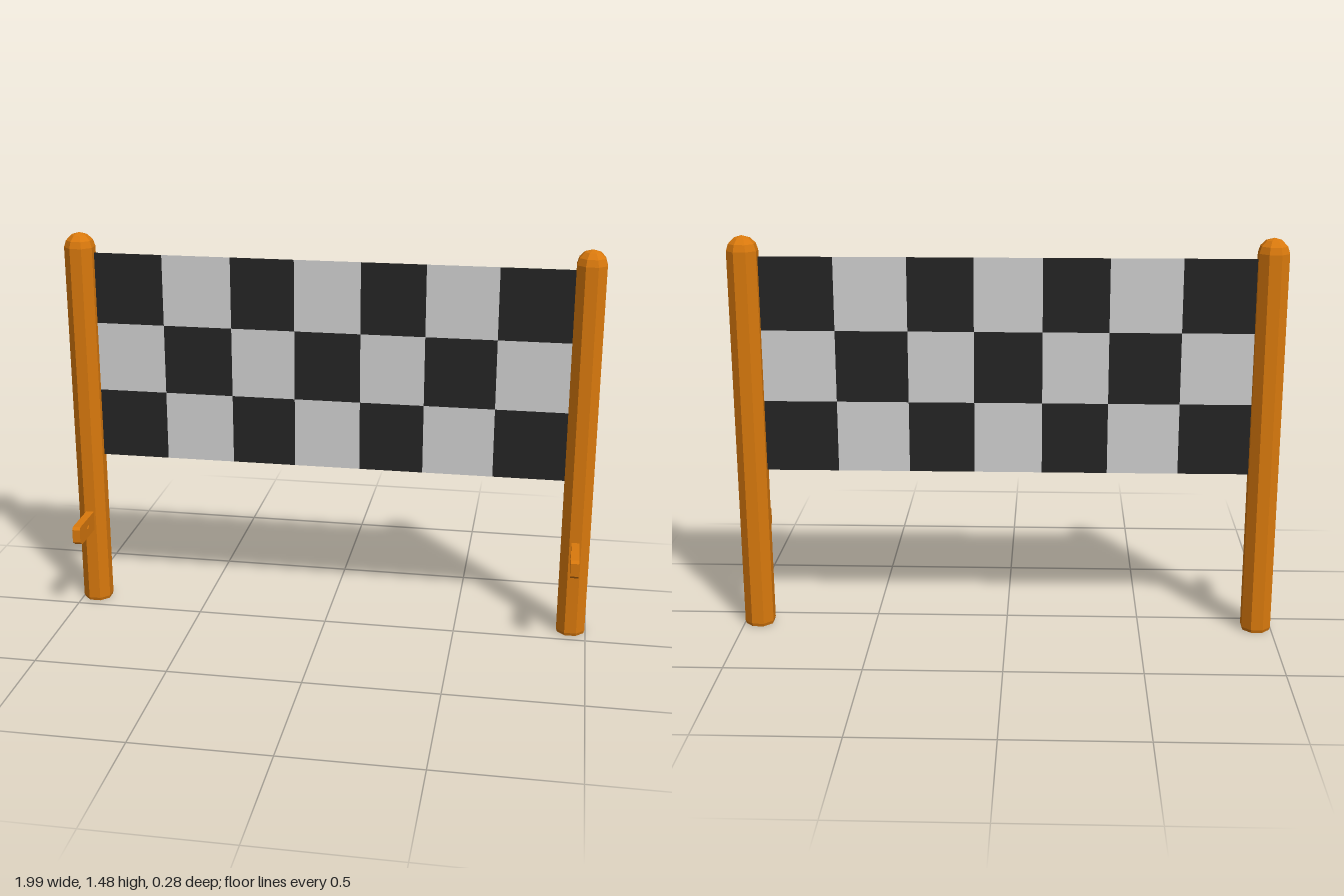
import * as THREE from 'three';

export function createModel() {
  const orange = new THREE.MeshStandardMaterial({ color: 0xd9790d, flatShading: true, side: THREE.DoubleSide });
  orange.name = 'orange paint';
  const dark = new THREE.MeshStandardMaterial({ color: 0x242424, side: THREE.DoubleSide });
  dark.name = 'black cloth';
  const light = new THREE.MeshStandardMaterial({ color: 0xcfcfcf, side: THREE.DoubleSide });
  light.name = 'white cloth';

  const model = new THREE.Group();
  model.name = 'checkeredBanner';
  const postX = 0.943, postZ = -0.085;

  // Eight-sided hollow post with a rounded top, open underneath
  const profile = [[0.054, 0], [0.058, 0.012], [0.058, 1.43], [0.05, 1.455], [0.03, 1.475], [0, 1.484]];
  const postGeo = new THREE.LatheGeometry(profile.map(([r, y]) => new THREE.Vector2(r, y)), 8);
  postGeo.rotateY(Math.PI / 8);

  // Bracket outline in (z, y), with clipped front corners and a small hole
  const outline = [[-0.05, 0.31], [0.12, 0.31], [0.14, 0.325], [0.14, 0.375], [0.13, 0.385], [-0.05, 0.385]];
  const bracketShape = new THREE.Shape(outline.map(([z, y]) => new THREE.Vector2(z, y)));
  const hole = [[0.034, 0.352], [0.045, 0.357], [0.056, 0.348], [0.045, 0.343]];
  bracketShape.holes.push(new THREE.Path(hole.map(([z, y]) => new THREE.Vector2(z, y))));
  const bracketGeo = new THREE.ExtrudeGeometry(bracketShape, { depth: 0.03, bevelEnabled: false });
  bracketGeo.translate(0, 0, -0.015).rotateY(-Math.PI / 2);

  for (const [side, s] of [['left', 1], ['right', -1]]) {
    const post = new THREE.Mesh(postGeo, orange);
    post.name = side + 'Post';
    post.position.set(s * postX, 0, postZ);
    const bracket = new THREE.Mesh(bracketGeo, orange);
    bracket.name = side + 'Bracket';
    bracket.position.x = s * postX;
    model.add(post, bracket);
  }

  // Cloth made of alternating squares, tucked into the posts at both ends
  const banner = new THREE.Group();
  banner.name = 'banner';
  const xs = [-0.9, -0.63, -0.37, -0.13, 0.118, 0.358, 0.622, 0.9];
  const ys = [0.61, 0.874, 1.138, 1.408];
  for (let r = 0; r < 3; r++) {
    for (let c = 0; c < 7; c++) {
      const square = new THREE.Mesh(
        new THREE.PlaneGeometry(xs[c + 1] - xs[c], ys[r + 1] - ys[r]),
        (r + c) % 2 ? light : dark
      );
      square.name = 'bannerSquare';
      square.position.set((xs[c] + xs[c + 1]) / 2, (ys[r] + ys[r + 1]) / 2, postZ);
      banner.add(square);
    }
  }
  model.add(banner);
  return model;
}
